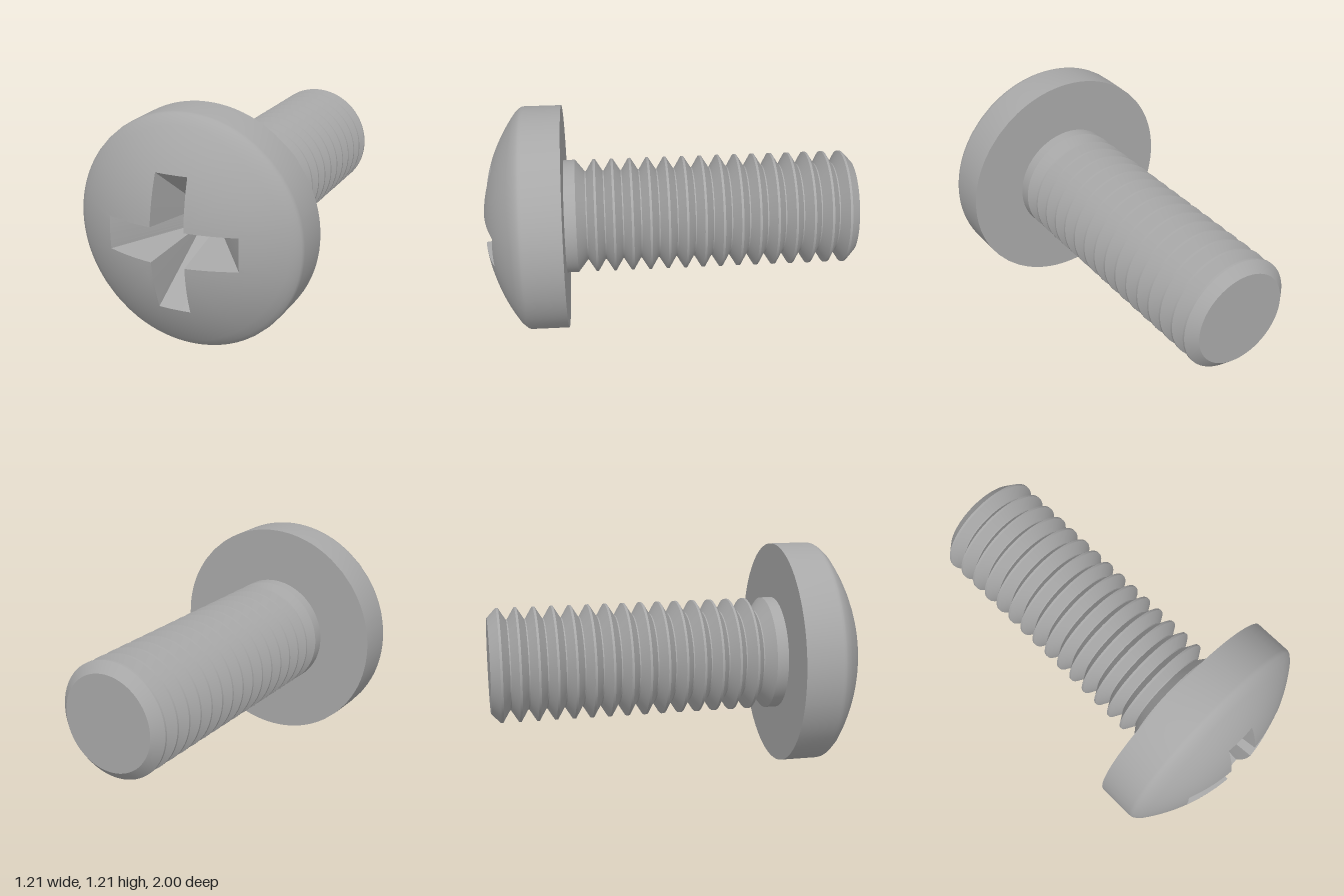
import * as THREE from 'three';
import { toCreasedNormals } from 'three/addons/utils/BufferGeometryUtils.js';

const HEAD_R = 0.605, HEAD_BACK = 0.57, APEX = 1.008, DOME_R = 0.96;
const EDGE_STEPS = 8;

const domeZ = (r) => APEX - DOME_R + Math.sqrt(DOME_R * DOME_R - r * r);

// Joins closed rings of points, ordered from the inside outwards
function skin(rings) {
  const n = rings[0].length;
  const index = [];
  for (let i = 0; i < rings.length - 1; i++) {
    for (let j = 0; j < n; j++) {
      const k = (j + 1) % n;
      const a = i * n + j, b = i * n + k, c = a + n, d = b + n;
      index.push(a, c, d, a, d, b);
    }
  }
  const g = new THREE.BufferGeometry();
  g.setAttribute('position', new THREE.Float32BufferAttribute(
    rings.flat().flatMap((p) => [p.x, p.y, p.z]), 3));
  g.setIndex(index);
  return g;
}

// Cross-shaped rim of the recess, with the matching points on its small square floor
function crossOutline() {
  const rim = [], floor = [];
  const tip = 0.345, tipHalf = 0.085, inner = 0.09, f = 0.043, depthZ = 0.54;
  const V = (x, y) => new THREE.Vector2(x, y);
  const edges = [
    [V(inner, -inner), V(tip, -tipHalf), V(f, -f), V(f, -f)],
    [V(tip, -tipHalf), V(tip, tipHalf), V(f, -f), V(f, f)],
    [V(tip, tipHalf), V(inner, inner), V(f, f), V(f, f)],
  ];
  const origin = V(0, 0);
  for (let arm = 0; arm < 4; arm++) {
    for (const [a, b, c, d] of edges) {
      for (let s = 0; s < EDGE_STEPS; s++) {
        const t = s / EDGE_STEPS, turn = arm * Math.PI / 2;
        const p = a.clone().lerp(b, t).rotateAround(origin, turn);
        const q = c.clone().lerp(d, t).rotateAround(origin, turn);
        rim.push(new THREE.Vector3(p.x, p.y, domeZ(p.length())));
        floor.push(new THREE.Vector3(q.x, q.y, depthZ));
      }
    }
  }
  return { rim, floor };
}

export function createModel() {
  const group = new THREE.Group();
  const steel = new THREE.MeshStandardMaterial({ color: 0xa8a8a8 });
  steel.name = 'steel grey';

  const screw = new THREE.Group();
  screw.name = 'screw';
  screw.position.y = HEAD_R;
  group.add(screw);
  const add = (name, geometry) => {
    const mesh = new THREE.Mesh(geometry, steel);
    mesh.name = name;
    screw.add(mesh);
  };

  // Domed head: from the recess rim over the dome, rounded edge, side and back
  const { rim, floor } = crossOutline();
  const rings = [rim];
  const domeEdge = 0.575, rows = 10;
  for (let i = 1; i <= rows; i++) {
    rings.push(rim.map((p) => {
      const r0 = Math.hypot(p.x, p.y);
      const r = THREE.MathUtils.lerp(r0, domeEdge, i / rows);
      return new THREE.Vector3(p.x * r / r0, p.y * r / r0, domeZ(r));
    }));
  }
  const edge = [[0.588, 0.802], [0.598, 0.791], [0.603, 0.781], [HEAD_R, 0.768],
    [HEAD_R, HEAD_BACK], [0.2, HEAD_BACK]];
  for (const [r, z] of edge) {
    rings.push(rim.map((p) => {
      const k = r / Math.hypot(p.x, p.y);
      return new THREE.Vector3(p.x * k, p.y * k, z);
    }));
  }
  add('head', toCreasedNormals(skin(rings), 0.6));

  // Cross recess: sloping arm floors, side walls and a small flat bottom
  const bottom = floor.map((p) => new THREE.Vector3(0, 0, p.z));
  const recess = skin([bottom, floor, rim]).toNonIndexed();
  recess.computeVertexNormals();
  add('crossRecess', recess);

  // Threaded shank: ring-shaped ridges, chamfered tip and plain neck
  const crest = 0.307, root = 0.243, pitch = 0.0965, first = -0.945, ridges = 15;
  const profile = [[0, -1], [0.255, -1]];
  for (let i = 0; i < ridges; i++) {
    const z = first + i * pitch;
    profile.push([crest, z - 0.006], [crest, z + 0.006]);
    profile.push([root, z + pitch / 2 - 0.003], [root, z + pitch / 2 + 0.003]);
  }
  profile.push([crest, 0.508], [crest, HEAD_BACK]);
  const shank = new THREE.LatheGeometry(profile.map(([r, z]) => new THREE.Vector2(r, z)), 72);
  shank.rotateX(Math.PI / 2);
  add('threadedShank', toCreasedNormals(shank, 0.5));

  return group;
}
